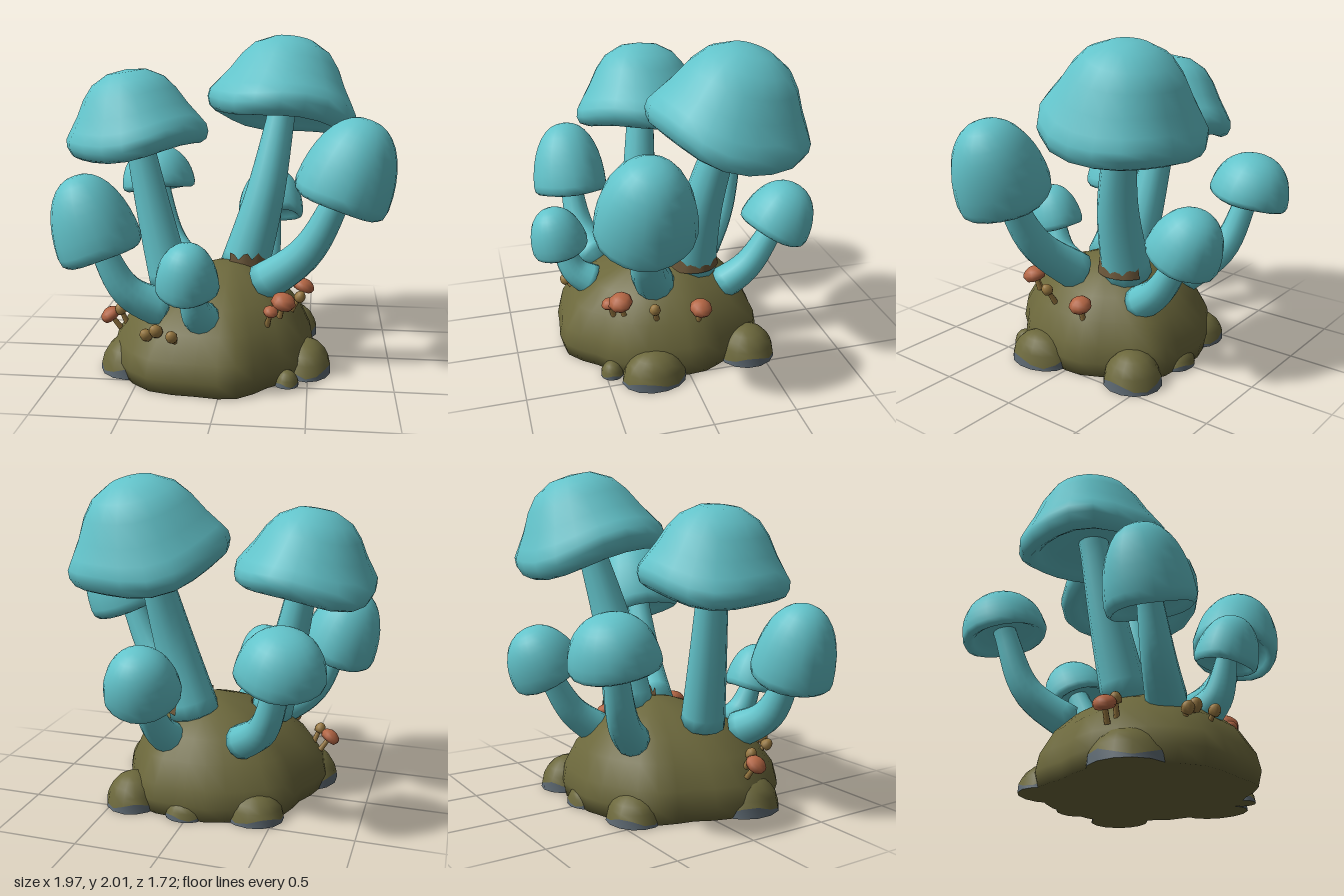
import * as THREE from 'three';
import { mergeVertices } from 'three/addons/utils/BufferGeometryUtils.js';

const mat = (name, color, side = THREE.FrontSide) => {
  const m = new THREE.MeshStandardMaterial({ color, side });
  m.name = name;
  return m;
};
const blue = mat('turquoise', 0x62c3ca);
const earth = mat('moss brown', 0x6c683c);
const slate = mat('slate', 0x5f6b74);
const bark = mat('bark brown', 0x6b573a, THREE.DoubleSide);
const orange = mat('rust orange', 0xb46644);
const tan = mat('tan', 0x9a7a42);

const V = (x, y, z) => new THREE.Vector3(x, y, z);
const UP = V(0, 1, 0);

// Weld seams and give soft normals
function smooth(geo) {
  geo.deleteAttribute('uv');
  geo.deleteAttribute('normal');
  const g = mergeVertices(geo, 1e-4);
  g.computeVertexNormals();
  return g;
}

// Move every vertex by a rule
function warp(geo, rule) {
  const p = geo.attributes.position, v = V(0, 0, 0);
  for (let i = 0; i < p.count; i++) {
    rule(v.fromBufferAttribute(p, i), i);
    p.setXYZ(i, v.x, v.y, v.z);
  }
  return geo;
}

// Quarter-round dome outline from the rim up to the crown
function dome(steps, power, start = 0) {
  return Array.from({ length: steps + 1 }, (_, i) => {
    const t = start + (Math.PI / 2 - start) * (i / steps);
    return [i === steps ? 0 : Math.cos(t) ** power, Math.sin(t)];
  });
}

const lathe = (profile, segments) =>
  new THREE.LatheGeometry(profile.map(([x, y]) => new THREE.Vector2(x, y)), segments);

function add(parent, name, geo, material) {
  const mesh = new THREE.Mesh(geo, material);
  mesh.name = name;
  parent.add(mesh);
  return mesh;
}

// Cap with a hollow underside and a thick rolled rim; broad caps flare like a bell
function capGeometry(radius, height, broad) {
  const under = [[0, 0.14], [0.6, 0.12], [0.76, -0.02], [0.88, -0.08], [0.97, -0.03]];
  const crown = broad
    ? [[1.01, 0.07], [1, 0.17], [0.92, 0.29], [0.8, 0.46], [0.67, 0.68], [0.52, 0.85], [0.28, 0.97], [0, 1]]
    : dome(9, 0.87, 0.06);
  const wave = broad ? 0.06 : 0.03;
  return smooth(warp(lathe([...under, ...crown], 20), (v) => {
    const a = Math.atan2(v.x, v.z) + radius * 9, edge = Math.hypot(v.x, v.z) ** 3;
    const k = radius * (1 + wave * 0.4 * edge * Math.sin(5 * a));
    v.set(v.x * k, v.y * height + radius * wave * edge * Math.sin(3 * a), v.z * k);
  }));
}

// Curved stem tapering from foot to cap, closed at the foot
function stemGeometry(path, footRadius, topRadius) {
  const steps = 14, sides = 12;
  return smooth(warp(new THREE.TubeGeometry(path, steps, 1, sides), (v, i) => {
    const t = Math.floor(i / (sides + 1)) / steps;
    const c = path.getPointAt(t);
    const r = t === 0 ? 0.001 : THREE.MathUtils.lerp(footRadius, topRadius, Math.min(1, t * 1.1));
    v.sub(c).multiplyScalar(r).add(c);
  }));
}

function mushroom(name, foot, bend, footRadius, topRadius, rim, axis, radius, height, broad = false) {
  const g = new THREE.Group();
  g.name = name;
  axis.normalize();
  const top = rim.clone().addScaledVector(axis, height * 0.22);
  add(g, 'stem', stemGeometry(new THREE.CatmullRomCurve3([foot, bend, top]), footRadius, topRadius), blue);
  const cap = add(g, 'cap', capGeometry(radius, height, broad), blue);
  cap.position.copy(rim);
  cap.quaternion.setFromUnitVectors(UP, axis);
  return g;
}

// Boulder with an uneven slate band along the ground
function boulder(x, z, width, depth, height) {
  const g = new THREE.Group();
  g.name = 'boulder';
  g.position.set(x, 0, z);
  g.scale.set(width, height, depth);
  const outline = dome(5, 0.9, 0.2);
  const uneven = (geo) => smooth(warp(geo, (v) => {
    if (v.y > 0.15 && v.y < 0.25) v.y += 0.12 * Math.sin(3 * Math.atan2(v.x, v.z) + x * 9);
  }));
  add(g, 'boulderTop', uneven(lathe(outline, 14)), earth);
  add(g, 'boulderFoot', uneven(lathe([[1, 0], outline[0]], 14)), slate);
  add(g, 'boulderBase', lathe([[0, 0], [1, 0]], 14), earth);
  return g;
}

// Ragged soil clinging to one side of a stem
function soilCollar(x, y, z, r, start, sweep) {
  const geo = warp(new THREE.CylinderGeometry(r * 0.97, r * 1.06, 0.1, 18, 1, true, start, sweep), (v) => {
    if (v.y > 0) v.y += 0.025 * Math.sin(11 * Math.atan2(v.x, v.z));
  });
  const mesh = new THREE.Mesh(smooth(geo), bark);
  mesh.name = 'soilCollar';
  mesh.position.set(x, y, z);
  return mesh;
}

// Tiny fungus leaning out from the mound
function tinyFungus(x, y, z, r, material, lean) {
  const g = new THREE.Group();
  g.name = 'tinyFungus';
  g.position.set(x, y, z);
  g.quaternion.setFromUnitVectors(UP, V(x * lean, 1, z * lean).normalize());
  const cap = add(g, 'tinyCap', smooth(lathe([[0, -0.3], [0.85, -0.4], ...dome(4, 1)], 9)), material);
  cap.scale.set(r, r * (material === tan ? 1.3 : 0.75), r);
  add(g, 'tinyStem', new THREE.CylinderGeometry(0.014, 0.018, 0.1, 7), tan).position.y = -0.055;
  return g;
}

export function createModel() {
  const model = new THREE.Group();
  model.name = 'mushroomCluster';

  // Earth mound, uneven around its foot and swelling to the front left
  const mound = lathe([[0, 0], [0.97, 0], [1, 0.09], [0.97, 0.19], [0.85, 0.33],
    [0.66, 0.45], [0.42, 0.545], [0.18, 0.6], [0, 0.615]], 32);
  add(model, 'mound', smooth(warp(mound, (v) => {
    const a = Math.atan2(v.x, v.z), r = Math.hypot(v.x, v.z);
    const swell = 0.18 * r * Math.max(0, Math.cos(a + 0.8)) ** 4;
    const k = 1 + swell + 0.025 * r * (Math.sin(5 * a + 1) + Math.sin(8 * a));
    v.set(v.x * (v.x > 0 ? 0.52 : 0.65) * k, v.y, v.z * (v.z > 0 ? 0.68 : 0.57) * k);
  })), earth);

  model.add(
    boulder(0.49, 0.22, 0.15, 0.2, 0.19),
    boulder(0.38, 0.46, 0.07, 0.07, 0.09),
    boulder(0.38, -0.41, 0.17, 0.18, 0.2),
    boulder(-0.57, 0.28, 0.2, 0.22, 0.21),
    boulder(-0.38, -0.38, 0.18, 0.16, 0.17),
    boulder(0.02, -0.5, 0.12, 0.09, 0.11),
  );

  // Large mushrooms: foot, bend, stem radii, rim centre, cap axis, cap radius and height
  model.add(
    mushroom('tallMushroom', V(0.05, 0.45, -0.13), V(0.2, 1, -0.16), 0.165, 0.088,
      V(0.295, 1.49, -0.265), V(0.14, 0.95, -0.22), 0.475, 0.515, true),
    mushroom('broadMushroom', V(-0.34, 0.42, 0.13), V(-0.46, 0.9, 0.08), 0.14, 0.088,
      V(-0.565, 1.35, 0.03), V(-0.15, 0.98, 0), 0.425, 0.46, true),
    mushroom('rightMushroom', V(0.17, 0.48, 0.13), V(0.48, 0.755, 0.25), 0.13, 0.075,
      V(0.665, 1.1, 0.31), V(0.34, 0.94, 0), 0.285, 0.475),
    mushroom('leftMushroom', V(-0.33, 0.4, 0.38), V(-0.56, 0.55, 0.47), 0.12, 0.07,
      V(-0.7, 0.81, 0.51), V(-0.3, 0.94, 0), 0.25, 0.445),
    mushroom('backLeftMushroom', V(-0.25, 0.42, -0.3), V(-0.46, 0.62, -0.5), 0.11, 0.07,
      V(-0.57, 0.96, -0.61), V(-0.12, 0.96, -0.2), 0.255, 0.285),
    mushroom('backRightMushroom', V(0.17, 0.38, -0.27), V(0.2, 0.54, -0.47), 0.11, 0.07,
      V(0.215, 0.79, -0.625), V(0, 0.88, -0.43), 0.225, 0.31),
    mushroom('frontMushroom', V(-0.11, 0.38, 0.46), V(-0.135, 0.47, 0.585), 0.11, 0.06,
      V(-0.17, 0.635, 0.66), V(0, 0.95, 0.26), 0.18, 0.275),
  );

  model.add(soilCollar(0.075, 0.6, -0.13, 0.165, -0.5, 3.2), soilCollar(-0.37, 0.53, 0.115, 0.14, 0.1, 2));

  model.add(
    tinyFungus(0.35, 0.48, 0.39, 0.075, orange, 0.6),
    tinyFungus(0.28, 0.44, 0.45, 0.045, orange, 0.8),
    tinyFungus(0.46, 0.43, -0.08, 0.07, orange, 0.7),
    tinyFungus(-0.72, 0.31, 0.24, 0.065, orange, 0.9),
    tinyFungus(-0.65, 0.35, 0.26, 0.035, tan, 0.6),
    tinyFungus(0.44, 0.45, 0.2, 0.035, tan, 1.2),
    tinyFungus(-0.43, 0.31, 0.56, 0.037, tan, 1.5),
    tinyFungus(-0.37, 0.34, 0.57, 0.039, tan, 1.5),
    tinyFungus(-0.27, 0.33, 0.63, 0.035, tan, 1.3),
  );
  return model;
}
